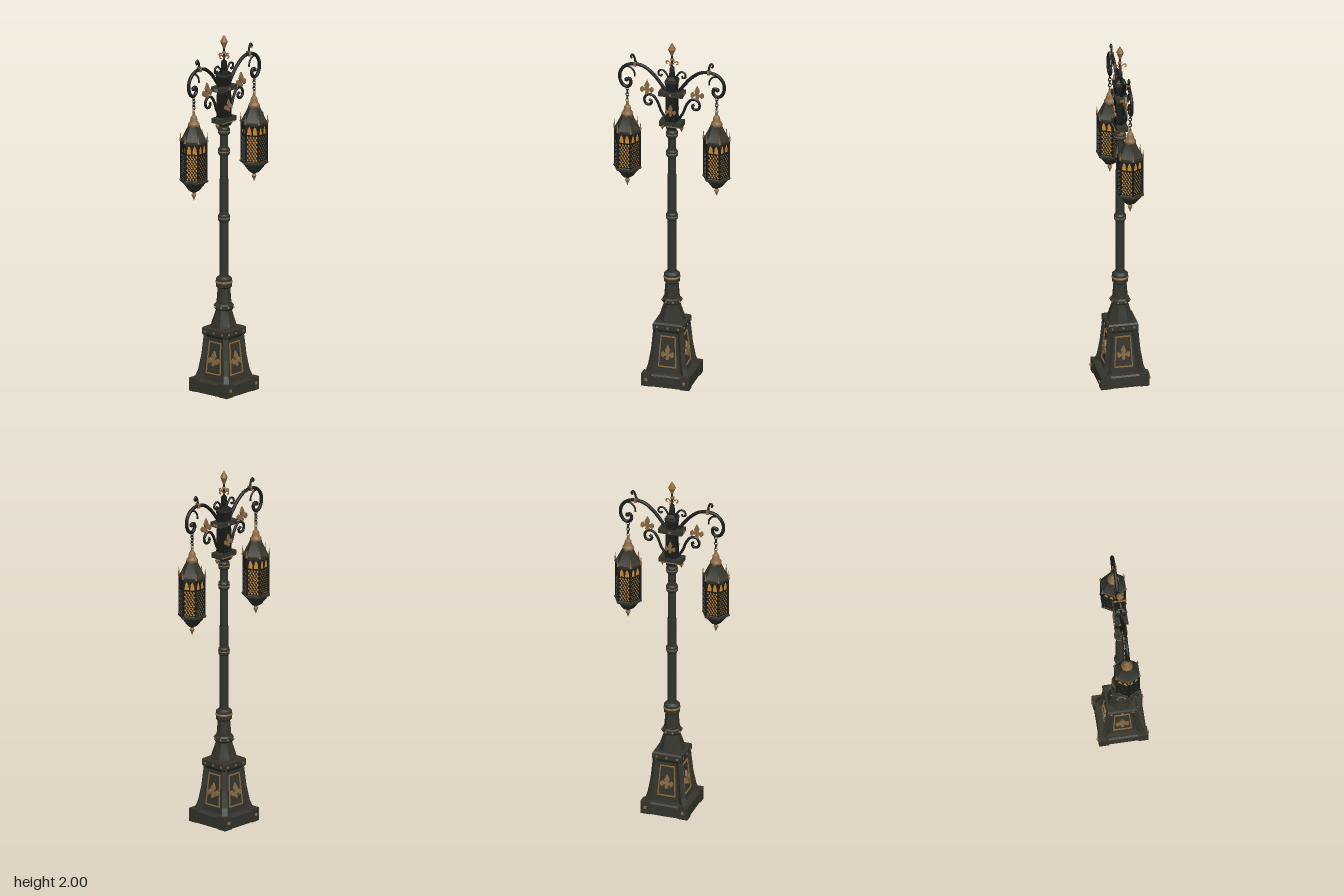
import * as THREE from 'three';
import { toCreasedNormals } from 'three/addons/utils/BufferGeometryUtils.js';

const material = (name, color) => {
  const m = new THREE.MeshStandardMaterial({ color });
  m.name = name;
  return m;
};

export function createModel() {
  const iron = material('weathered iron', 0x35352d);
  const black = material('blackened iron', 0x1c1e1b);
  const bronze = material('aged bronze', 0x8a6b45);
  const glow = material('amber glass', 0xd08c34);

  const V = (x, y) => new THREE.Vector2(x, y);
  const add = (parent, name, geo, mat, x = 0, y = 0, z = 0) => {
    const mesh = new THREE.Mesh(geo, mat);
    mesh.name = name;
    mesh.position.set(x, y, z);
    parent.add(mesh);
    return mesh;
  };
  const group = (parent, name, x = 0, y = 0, z = 0) => {
    const g = new THREE.Group();
    g.name = name;
    g.position.set(x, y, z);
    parent.add(g);
    return g;
  };
  const box = (w, h, d) => new THREE.BoxGeometry(w, h, d);
  // n-sided turned solid; profile holds [distance to flat, y] from bottom to top
  const prism = (n, profile) => {
    const k = 1 / Math.cos(Math.PI / n);
    const pts = profile.map(([a, y]) => V(a * k, y));
    pts.unshift(V(0, profile[0][1]));
    pts.push(V(0, profile[profile.length - 1][1]));
    return toCreasedNormals(new THREE.LatheGeometry(pts, n, Math.PI / n), 0.5);
  };
  const tube = (pts, r) => new THREE.TubeGeometry(
    new THREE.CatmullRomCurve3(pts.map(([x, y]) => new THREE.Vector3(x, y, 0))), pts.length * 6, r, 8);
  const plate = (shape, depth) => {
    const g = new THREE.ExtrudeGeometry(shape, { depth, bevelEnabled: false, curveSegments: 6 });
    return g.translate(0, 0, -depth / 2);
  };
  // Heraldic lily ornament, mirrored from half an outline
  const lily = (h, depth) => {
    const half = [[0.05, 0], [0.12, 0.12], [0.06, 0.3], [0.2, 0.26], [0.3, 0.14], [0.42, 0.24], [0.42, 0.44],
      [0.3, 0.54], [0.2, 0.42], [0.08, 0.4], [0.17, 0.64]];
    const pts = [...half, [0, 1], ...half.slice().reverse().map(([x, y]) => [-x, y])];
    return plate(new THREE.Shape(pts.map(([x, y]) => V(x * h, y * h))), depth);
  };

  const model = new THREE.Group();
  model.name = 'streetLamp';

  // Square pedestal
  const base = group(model, 'pedestal');
  add(base, 'plinth', prism(4, [[0.13, 0], [0.13, 0.062], [0.122, 0.07]]), iron);
  add(base, 'pedestalBody', prism(4, [[0.092, 0.07], [0.068, 0.32]]), iron);
  add(base, 'pedestalCap', prism(4, [[0.074, 0.305], [0.085, 0.322], [0.085, 0.352], [0.078, 0.36]]), iron);
  const ribShape = new THREE.Shape([[0.08, 0.06], [0.163, 0.06], [0.14, 0.115], [0.122, 0.2], [0.108, 0.32],
    [0.07, 0.32]].map(([x, y]) => V(x, y)));
  const frameShape = new THREE.Shape([V(-0.052, -0.09), V(0.052, -0.09), V(0.042, 0.09), V(-0.042, 0.09)]);
  frameShape.holes.push(new THREE.Path([V(-0.046, -0.084), V(-0.037, 0.084), V(0.037, 0.084), V(0.046, -0.084)]));
  for (let k = 0; k < 4; k++) {
    const side = group(base, 'pedestalSide');
    side.rotation.y = k * Math.PI / 2;
    add(side, 'cornerBlock', box(0.054, 0.074, 0.054), iron, 0.108, 0.037, 0.108);
    add(side, 'cornerRib', plate(ribShape, 0.028), iron).rotation.y = Math.PI / 4;
    for (const s of [-1, 0, 1]) add(side, 'capStud', box(0.01, 0.01, 0.006), bronze, s * 0.06, 0.336, 0.086);
    const panel = group(side, 'sidePanel', 0, 0.195, 0.08);
    panel.rotation.x = -0.096;
    add(panel, 'panelFrame', plate(frameShape, 0.008), bronze, 0, 0, 0.002);
    add(panel, 'panelLily', lily(0.085, 0.014), bronze, 0, -0.045, 0.004);
    if (k % 2 === 0) {
      for (const s of [-1, 1]) add(side, 'plinthStud', box(0.014, 0.014, 0.012), bronze, s * 0.107, 0.04, 0.137);
    }
  }

  // Eight-sided foot of the column, shaft and collars
  const column = group(model, 'column');
  add(column, 'columnFoot', prism(8, [[0.068, 0.36], [0.066, 0.375], [0.04, 0.46], [0.04, 0.49], [0.033, 0.58]]), iron);
  add(column, 'footBand', prism(8, [[0.042, 0.455], [0.05, 0.464], [0.05, 0.482], [0.042, 0.49]]), iron);
  add(column, 'shaftSocket', prism(16, [[0.034, 0.575], [0.043, 0.585], [0.043, 0.63], [0.03, 0.642]]), iron);
  add(column, 'socketRing', prism(16, [[0.043, 0.603], [0.046, 0.607], [0.046, 0.613], [0.043, 0.617]]), bronze);
  add(column, 'shaft', prism(16, [[0.024, 0.63], [0.022, 1.53]]), iron);
  for (let k = 0; k < 8; k++) {
    const a = (k + 0.5) * Math.PI / 4;
    add(column, 'bandStud', new THREE.SphereGeometry(0.006, 8, 6), bronze, 0.054 * Math.sin(a), 0.473, 0.054 * Math.cos(a));
  }
  for (const y of [0.97, 1.345, 1.46]) {
    add(column, 'collar', prism(16, [[0.025, y - 0.022], [0.031, y - 0.014], [0.031, y + 0.014], [0.025, y + 0.022]]), iron);
    add(column, 'collarRing', prism(16, [[0.029, y - 0.003], [0.033, y - 0.002], [0.033, y + 0.002], [0.029, y + 0.003]]), bronze);
  }

  // Head post carrying the arms
  const head = group(model, 'head');
  add(head, 'headPost', prism(4, [[0.024, 1.49], [0.03, 1.53], [0.027, 1.72], [0.03, 1.76], [0.03, 1.785], [0.013, 1.8],
    [0.011, 1.85], [0.006, 1.86]]), black);
  add(head, 'lowerBracket', box(0.13, 0.028, 0.064), iron, 0, 1.525, 0);
  add(head, 'upperBracket', box(0.136, 0.026, 0.072), iron, 0, 1.702, 0);
  add(head, 'headBand', box(0.066, 0.012, 0.066), iron, 0, 1.775, 0);
  for (const s of [-1, 1]) {
    add(head, 'headLily', lily(0.07, 0.01), bronze, 0, 1.575, s * 0.031);
    add(head, 'bracketStud', box(0.012, 0.012, 0.006), bronze, 0, 1.702, s * 0.037);
    add(head, 'bracketEdge', box(0.1, 0.006, 0.004), bronze, 0, 1.512, s * 0.032);
  }

  // Finial
  const ball = (r) => new THREE.SphereGeometry(r, 12, 8);
  add(head, 'finialRod', new THREE.CylinderGeometry(0.005, 0.006, 0.11, 8), black, 0, 1.895, 0);
  add(head, 'finialTip', prism(8, [[0.006, 1.925], [0.009, 1.935], [0.02, 1.962], [0.012, 1.978], [0.001, 2]]), bronze);
  for (let k = 0; k < 4; k++) {
    const scroll = group(head, 'finialScroll');
    scroll.rotation.y = k * Math.PI / 2;
    add(scroll, 'finialCurl', tube([[0, 1.865], [0.015, 1.885], [0.03, 1.89], [0.033, 1.877], [0.025, 1.872]], 0.0035), bronze);
  }
  add(head, 'finialBead', ball(0.01), bronze, 0, 1.9, 0);

  // Pierced lantern panel: two lancets above a diamond lattice
  const pierced = new THREE.Shape([V(-0.034, -0.11), V(0.034, -0.11), V(0.034, 0.105), V(-0.034, 0.105)]);
  for (const s of [-1, 1]) {
    const hole = new THREE.Path(), c = s * 0.0155;
    hole.moveTo(c - 0.0125, 0.05);
    hole.quadraticCurveTo(c - 0.0125, 0.085, c, 0.098);
    hole.quadraticCurveTo(c + 0.0125, 0.085, c + 0.0125, 0.05);
    hole.closePath();
    pierced.holes.push(hole);
  }
  for (let row = 0; row < 11; row++) {
    const n = row % 2 ? 3 : 4, y = -0.091 + row * 0.0127;
    for (let i = 0; i < n; i++) {
      const x = (i - (n - 1) / 2) * 0.0162;
      pierced.holes.push(new THREE.Path([V(x - 0.006, y), V(x, y + 0.0098), V(x + 0.006, y), V(x, y - 0.0098)]));
    }
  }
  const panelGeo = plate(pierced, 0.005);

  const buildLantern = (parent) => {
    const lantern = group(parent, 'lantern', 0.252, 0, 0);
    add(lantern, 'glass', prism(6, [[0.054, 1.23], [0.054, 1.45]]), glow);
    add(lantern, 'roof', prism(6, [[0.064, 1.445], [0.066, 1.452], [0.066, 1.463], [0.058, 1.47], [0.03, 1.535], [0.028, 1.545]]), iron);
    add(lantern, 'lowerRim', prism(6, [[0.056, 1.222], [0.066, 1.228], [0.066, 1.242], [0.06, 1.248]]), iron);
    add(lantern, 'underside', prism(6, [[0.018, 1.172], [0.026, 1.178], [0.058, 1.225]]), iron);
    add(lantern, 'roofCap', prism(16, [[0.03, 1.54], [0.031, 1.553], [0.021, 1.567], [0.017, 1.59], [0.008, 1.602], [0.006, 1.62]]), bronze);
    add(lantern, 'dropFinial', prism(10, [[0.001, 1.122], [0.007, 1.14], [0.013, 1.153], [0.007, 1.163], [0.016, 1.175]]), bronze);
    for (let k = 0; k < 6; k++) {
      const side = group(lantern, 'lanternSide');
      side.rotation.y = k * Math.PI / 3;
      add(side, 'piercedPanel', panelGeo, black, 0, 1.345, 0.06);
      const corner = group(side, 'lanternCorner', 0.0355, 0, 0.0615);
      add(corner, 'cornerPost', new THREE.CylinderGeometry(0.005, 0.005, 0.22, 6), black, 0, 1.345, 0);
      add(corner, 'cornerSpike', new THREE.ConeGeometry(0.005, 0.045, 6), bronze, 0.0015, 1.487, 0.0025);
      add(corner, 'cornerBead', ball(0.006), bronze, 0.0015, 1.458, 0.0025);
      add(corner, 'lowerBead', ball(0.006), iron, 0.0015, 1.235, 0.0025);
    }
    // Hanging chain
    for (let i = 0; i < 5; i++) {
      const link = add(lantern, 'chainLink', new THREE.TorusGeometry(0.008, 0.0024, 6, 12), i < 1 ? bronze : black, 0, 1.626 + i * 0.0175, 0);
      link.scale.y = 1.4;
      link.rotation.y = i % 2 ? Math.PI / 2 : 0;
    }
  };

  // Two mirrored arms with scrolls, each carrying a lantern
  for (const turn of [0, Math.PI]) {
    const arm = group(model, turn ? 'rightArm' : 'leftArm');
    arm.rotation.y = turn;
    add(arm, 'mainScroll', tube([[0.02, 1.69], [0.06, 1.745], [0.105, 1.8], [0.16, 1.84], [0.215, 1.848], [0.262, 1.832],
      [0.291, 1.795], [0.294, 1.75], [0.275, 1.715], [0.248, 1.71], [0.232, 1.733], [0.24, 1.757], [0.258, 1.752]], 0.0095), black);
    add(arm, 'scrollEnd', ball(0.012), black, 0.256, 1.75, 0);
    add(arm, 'innerCurl', tube([[0.27, 1.83], [0.235, 1.825], [0.213, 1.8], [0.21, 1.775]], 0.005), black);
    add(arm, 'topCurl', tube([[0.185, 1.845], [0.205, 1.86], [0.212, 1.885], [0.222, 1.902], [0.232, 1.892], [0.226, 1.88]], 0.006), black);
    add(arm, 'armCollar', box(0.014, 0.026, 0.024), bronze, 0.207, 1.849, 0);
    add(arm, 'lowerScroll', tube([[0.025, 1.535], [0.06, 1.585], [0.082, 1.64], [0.108, 1.673], [0.138, 1.675], [0.156, 1.65],
      [0.148, 1.622], [0.124, 1.618], [0.115, 1.638], [0.13, 1.648]], 0.0075), black);
    add(arm, 'armLily', lily(0.085, 0.012), bronze, 0.142, 1.675, 0);
    add(arm, 'crownScroll', tube([[0.018, 1.785], [0.03, 1.81], [0.052, 1.832], [0.073, 1.825], [0.076, 1.803], [0.061, 1.797],
      [0.056, 1.81]], 0.0055), black);
    add(arm, 'bracketDrop', prism(8, [[0.001, 1.478], [0.011, 1.498], [0.008, 1.512]]), bronze, 0.054, 0, 0);
    add(arm, 'bracketEnd', box(0.005, 0.014, 0.03), bronze, 0.069, 1.702, 0);
    buildLantern(arm);
  }
  return model;
}
